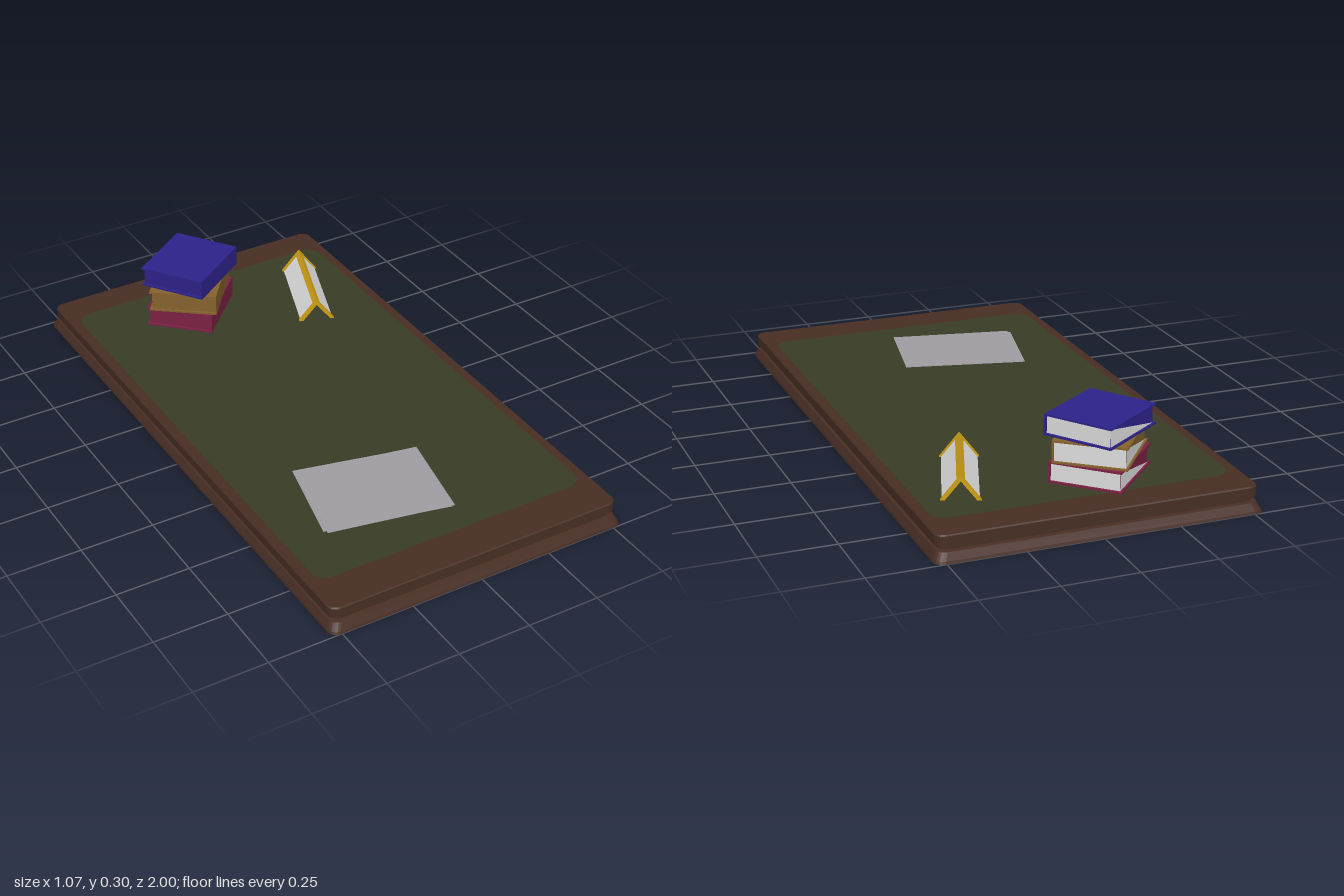
import * as THREE from 'three';

const mat = (name, color) => {
  const m = new THREE.MeshStandardMaterial({ color, side: THREE.DoubleSide });
  m.name = name;
  return m;
};

function roundedRect(hx, hz, r, segments = 5) {
  const pts = [];
  const corners = [[1, 1, 0], [-1, 1, 1], [-1, -1, 2], [1, -1, 3]];
  for (const [sx, sz, q] of corners) {
    for (let i = 0; i <= segments; i++) {
      const a = (q + i / segments) * Math.PI / 2;
      pts.push([sx * (hx - r) + r * Math.cos(a), sz * (hz - r) + r * Math.sin(a)]);
    }
  }
  return pts;
}

// Lofts rounded rectangles through a moulding profile of [halfX, y, halfZ], closed at both ends
function moulding(profile, r) {
  const pos = [];
  const rings = profile.map(([hx, y, hz]) => roundedRect(hx, hz, r).map(([x, z]) => [x, y, z]));
  const n = rings[0].length;
  const last = rings.length - 1;
  for (let i = 0; i < n; i++) {
    const j = (i + 1) % n;
    for (let k = 0; k < last; k++) {
      const a = rings[k], b = rings[k + 1];
      pos.push(...a[i], ...b[i], ...b[j], ...a[i], ...b[j], ...a[j]);
    }
    pos.push(0, profile[0][1], 0, ...rings[0][i], ...rings[0][j]);
    pos.push(0, profile[last][1], 0, ...rings[last][j], ...rings[last][i]);
  }
  const g = new THREE.BufferGeometry();
  g.setAttribute('position', new THREE.Float32BufferAttribute(pos, 3));
  g.computeVertexNormals();
  return g;
}

export function createModel() {
  const root = new THREE.Group();
  root.name = 'deskTopWithBooks';

  const wood = mat('dark wood', 0x482e24);
  const felt = mat('green felt', 0x383d26);
  const page = mat('page white', 0xdedede);
  const paper = mat('paper grey', 0x9f9da2);
  const blue = mat('blue cover', 0x2d228a);
  const tan = mat('tan cover', 0x86622e);
  const maroon = mat('maroon cover', 0x7c2144);
  const yellow = mat('yellow cover', 0xcfa014);

  const add = (parent, name, geometry, material, x = 0, y = 0, z = 0) => {
    const mesh = new THREE.Mesh(geometry, material);
    mesh.name = name;
    mesh.position.set(x, y, z);
    parent.add(mesh);
    return mesh;
  };
  const box = (w, h, d) => new THREE.BoxGeometry(w, h, d);

  // Moulded wooden slab with a groove around it
  add(root, 'deskTop', moulding([
    [0.535, 0, 1], [0.533, 0.008, 0.997], [0.522, 0.031, 0.984], [0.512, 0.034, 0.972],
    [0.512, 0.045, 0.972], [0.524, 0.047, 0.979], [0.525, 0.079, 0.979], [0.522, 0.083, 0.976],
  ], 0.03), wood);

  // Inlaid writing surface
  add(root, 'feltInlay', moulding([[0.49, 0.082, 0.855], [0.49, 0.0837, 0.855]], 0.05),
    felt, 0, 0, -0.01);

  // Two loose sheets, slightly fanned
  [[-0.112, 0.532, -12.8], [-0.108, 0.538, -11]].forEach(([x, z, deg], i) => {
    const sheet = add(root, 'paperSheet' + (i + 1), box(0.425, 0.0008, 0.33), paper,
      x, 0.0848 + i * 0.0015, z);
    sheet.rotation.y = THREE.MathUtils.degToRad(deg);
  });

  // Closed book: spine towards +z, pages at the head (+x) and part of the fore edge (-z)
  function closedBook(name, cover, x, y, z, deg, h) {
    const w = 0.272, d = 0.238, t = 0.006, inset = 0.008;
    const g = new THREE.Group();
    g.name = name;
    g.position.set(x, y, z);
    g.rotation.y = THREE.MathUtils.degToRad(deg);
    add(g, 'bottomCover', box(w, t, d), cover, 0, t / 2, 0);
    add(g, 'topCover', box(w, t, d), cover, 0, h - t / 2, 0);
    add(g, 'spine', box(w, h - 2 * t, t), cover, 0, h / 2, d / 2 - t / 2);
    const bw = w - 2 * inset, bh = h - 2 * t, bd = d - t - inset;
    const zc = (inset - t) / 2;
    add(g, 'pageBlock', box(bw, bh, bd),
      [page, cover, cover, cover, cover, cover], 0, h / 2, zc);
    // Bare paper on the fore edge, cut off diagonally
    const edge = new THREE.Shape([
      new THREE.Vector2(bw / 2, -bh / 2), new THREE.Vector2(-bw / 2, -bh / 2),
      new THREE.Vector2(bw / 2, bh / 2),
    ]);
    add(g, 'foreEdgePages', new THREE.ShapeGeometry(edge), page, 0, h / 2, zc - bd / 2 - 0.001)
    root.add(g);
  }
  closedBook('maroonBook', maroon, -0.11, 0.0837, -0.71, 46, 0.0695);
  closedBook('tanBook', tan, -0.111, 0.1535, -0.708, 52, 0.0745);
  closedBook('blueBook', blue, -0.108, 0.2285, -0.711, 35, 0.0695);

  // Inverted V section used for the book standing like a tent
  function tent(halfW, height, thickness, length) {
    const s = new THREE.Shape([
      new THREE.Vector2(-halfW, 0), new THREE.Vector2(-halfW + thickness, 0),
      new THREE.Vector2(0, height - thickness * 1.3), new THREE.Vector2(halfW - thickness, 0),
      new THREE.Vector2(halfW, 0), new THREE.Vector2(0, height),
    ]);
    return new THREE.ExtrudeGeometry(s, { depth: length, bevelEnabled: false })
      .translate(0, 0, -length / 2);
  }
  const open = new THREE.Group();
  open.name = 'openBook';
  open.position.set(0.306, 0.0837, -0.588);
  open.rotation.y = THREE.MathUtils.degToRad(-19.7);
  add(open, 'openPages', tent(0.058, 0.074, 0.011, 0.345), page);
  for (const s of [-1, 1]) {
    add(open, s > 0 ? 'frontCoverEdge' : 'backCoverEdge', tent(0.063, 0.08, 0.014, 0.014),
      yellow, 0, 0, s * 0.174);
  }
  // Cover strip along the ridge
  const ridge = new THREE.Shape([
    new THREE.Vector2(-0.013, 0.0635), new THREE.Vector2(0.013, 0.0635), new THREE.Vector2(0, 0.08),
  ]);
  add(open, 'ridge', new THREE.ExtrudeGeometry(ridge, { depth: 0.35, bevelEnabled: false }),
    yellow, 0, 0, -0.175);
  root.add(open);

  return root;
}
